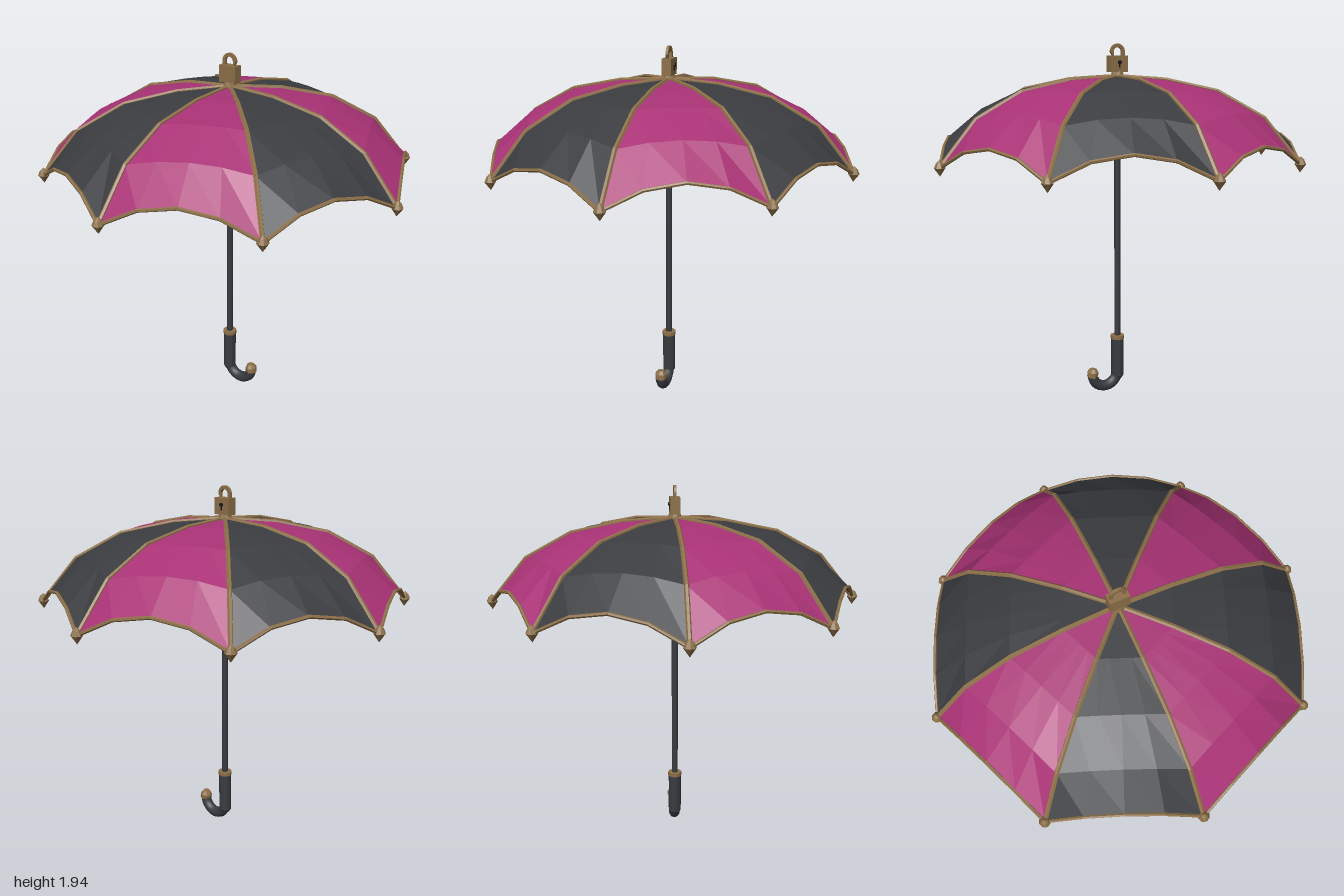
import * as THREE from 'three';

const mat = (color, extra = {}) => new THREE.MeshStandardMaterial({ color, flatShading: true, ...extra });
const V = (x, y, z) => new THREE.Vector3(x, y, z);

export function createModel() {
  const model = new THREE.Group();
  const brass = mat(0x8c6f48), dark = mat(0x393b40), black = mat(0x18181a);
  const cloth = [0x3a3c40, 0xa83275].map(c => mat(c, { side: THREE.DoubleSide }));
  const smoothDark = new THREE.MeshStandardMaterial({ color: 0x393b40 });

  const add = (name, geo, material, x = 0, y = 0, z = 0, parent = model) => {
    const mesh = new THREE.Mesh(geo, material);
    mesh.name = name;
    mesh.position.set(x, y, z);
    parent.add(mesh);
    return mesh;
  };
  // straight rod between two points
  const rod = (name, a, b, r, parent) => {
    const d = b.clone().sub(a);
    const mesh = add(name, new THREE.CylinderGeometry(r, r, d.length() + r * 0.6, 6), brass, 0, 0, 0, parent);
    mesh.position.copy(a).add(b).multiplyScalar(0.5);
    mesh.quaternion.setFromUnitVectors(V(0, 1, 0), d.normalize());
    return mesh;
  };
  const lathe = (pts, n) => new THREE.LatheGeometry(pts.map(p => new THREE.Vector2(...p)), n);

  // rib profile: radius, height, and how far the cloth lifts between the ribs
  const profile = [[0, 1.768, 0], [0.27, 1.75, 0], [0.54, 1.695, 0.01], [0.78, 1.565, 0.035], [0.97, 1.337, 0.118]];
  const RIBS = 8, STEPS = 4, SECTOR = Math.PI * 2 / RIBS;
  const ribPoint = (k, j) => {
    const [r, y] = profile[j];
    return V(r * Math.cos(k * SECTOR), y, r * Math.sin(k * SECTOR));
  };
  const clothPoint = (k, i, j) => {
    const t = i / STEPS;
    const p = ribPoint(k, j).lerp(ribPoint(k + 1, j), t);
    p.y += profile[j][2] * 4 * t * (1 - t);
    return p;
  };

  // canopy: eight panels in alternating colours
  const canopy = new THREE.Group();
  canopy.name = 'canopy';
  model.add(canopy);
  for (let k = 0; k < RIBS; k++) {
    const pos = [], idx = [], row = STEPS + 1;
    for (let j = 0; j < profile.length; j++)
      for (let i = 0; i <= STEPS; i++) pos.push(...clothPoint(k, i, j).toArray());
    for (let j = 0; j < profile.length - 1; j++)
      for (let i = 0; i < STEPS; i++) {
        const a = j * row + i, b = a + 1, c = a + row, d = c + 1;
        idx.push(b, d, c);
        if (j > 0) idx.push(a, b, c);
      }
    const geo = new THREE.BufferGeometry();
    geo.setAttribute('position', new THREE.Float32BufferAttribute(pos, 3));
    geo.setIndex(idx);
    geo.computeVertexNormals();
    add('canopyPanel', geo, cloth[k % 2], 0, 0, 0, canopy);

    // trim along the rib and the scalloped rim
    for (let j = 0; j < profile.length - 1; j++) rod('rib', ribPoint(k, j), ribPoint(k, j + 1), 0.012, canopy);
    for (let i = 0; i < STEPS; i++) rod('rimTrim', clothPoint(k, i, 4), clothPoint(k, i + 1, 4), 0.009, canopy);

    // pointed rib end
    const tip = ribPoint(k, 4);
    add('ribTip', lathe([[0, -0.042], [0.029, 0], [0.018, 0.024], [0, 0.04]], 8), brass, tip.x, tip.y, tip.z, canopy);

    // stretcher from the runner to the rib
    const c = Math.cos(k * SECTOR), s = Math.sin(k * SECTOR);
    rod('stretcher', V(0.02 * c, 1.485, 0.02 * s), V(0.61 * c, 1.645, 0.61 * s), 0.005, canopy);
  }

  // shaft, runner and upper sleeve
  add('shaft', new THREE.CylinderGeometry(0.017, 0.017, 1.47, 12), smoothDark, 0, 1.035, 0);
  add('runner', lathe([[0, -0.03], [0.026, -0.03], [0.034, -0.01], [0.034, 0.015], [0.024, 0.03], [0, 0.03]], 10), brass, 0, 1.485, 0);
  add('upperSleeve', new THREE.CylinderGeometry(0.026, 0.019, 0.26, 10), brass, 0, 1.635, 0);

  // grip with a collar and a hooked end
  add('grip', lathe([[0, 0.065], [0.026, 0.065], [0.035, 0.08], [0.035, 0.31], [0, 0.31]], 12), dark);
  add('gripCollar', new THREE.CylinderGeometry(0.038, 0.038, 0.02, 12), brass, 0, 0.312, 0);
  const hook = add('hook', new THREE.TorusGeometry(0.078, 0.03, 10, 14, Math.PI), smoothDark, 0.078, 0.108, 0);
  hook.rotation.z = Math.PI;
  const cap = add('hookCap', lathe([[0, -0.022], [0.032, -0.022], [0.033, 0.006], [0.02, 0.026], [0, 0.028]], 8), brass, 0.155, 0.117, 0);
  cap.rotation.z = 0.15;

  // padlock finial
  const lock = new THREE.Group();
  lock.name = 'padlock';
  model.add(lock);
  add('lockBase', new THREE.CylinderGeometry(0.03, 0.038, 0.03, 10), brass, 0, 1.777, 0, lock);
  add('lockBody', new THREE.BoxGeometry(0.1, 0.086, 0.052), brass, 0, 1.832, 0, lock);
  const arch = new THREE.Shape();
  arch.moveTo(0.042, 0);
  arch.absarc(0, 0.03, 0.042, 0, Math.PI, false);
  arch.lineTo(-0.042, 0);
  arch.lineTo(-0.024, 0);
  arch.absarc(0, 0.03, 0.024, Math.PI, 0, true);
  arch.lineTo(0.024, 0);
  add('shackle', new THREE.ExtrudeGeometry(arch, { depth: 0.014, bevelEnabled: false, curveSegments: 10 }), brass, 0, 1.864, -0.007, lock);
  const hole = add('keyholeTop', new THREE.CylinderGeometry(0.01, 0.01, 0.012, 10), black, 0, 1.84, -0.028, lock);
  hole.rotation.x = Math.PI / 2;
  add('keyholeSlot', new THREE.BoxGeometry(0.008, 0.026, 0.008), black, 0, 1.825, -0.026, lock);

  return model;
}
